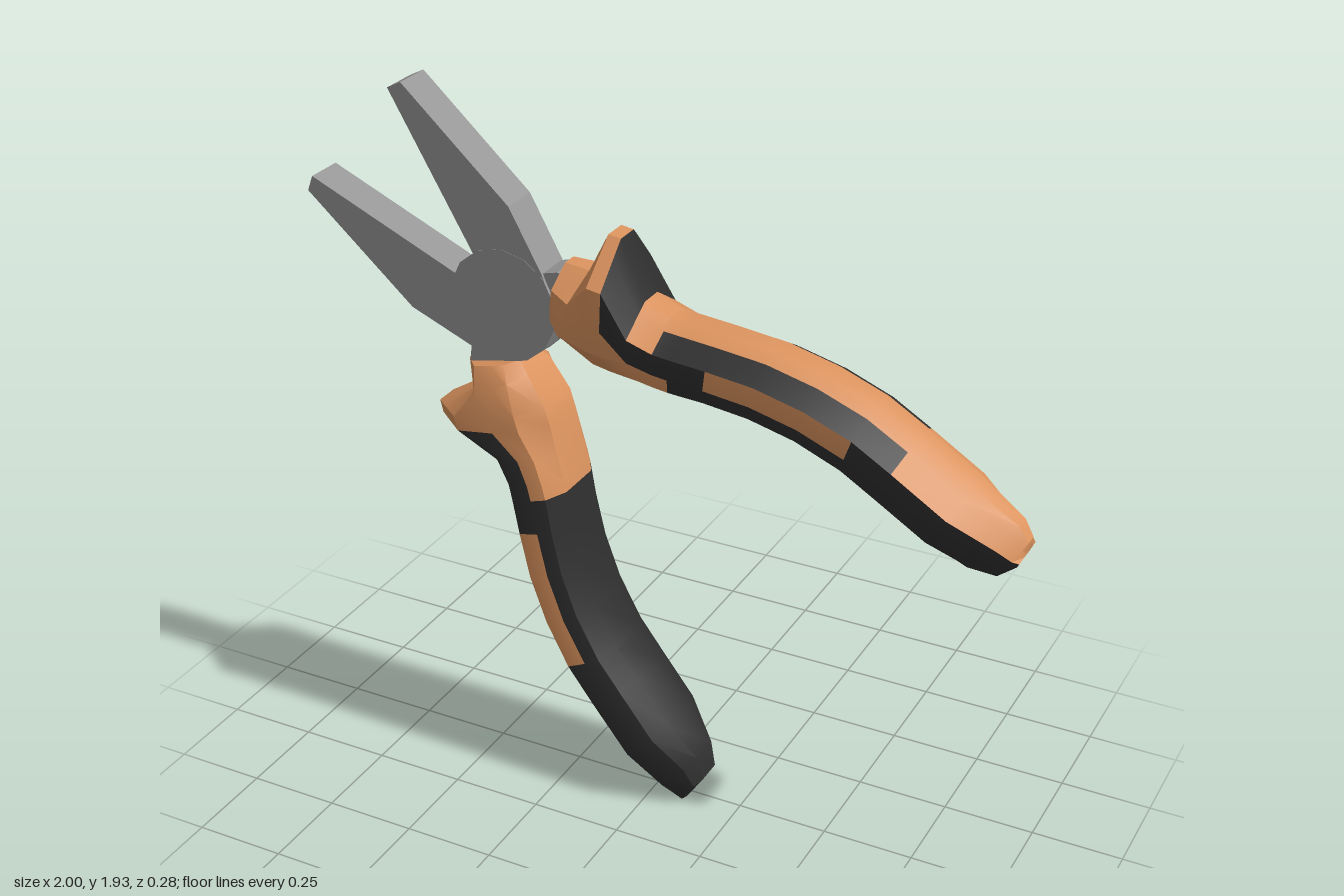
import * as THREE from 'three';
import { toCreasedNormals } from 'three/addons/utils/BufferGeometryUtils.js';

const steel = new THREE.MeshStandardMaterial({ color: 0x969696 });
steel.name = 'steel';
const orange = new THREE.MeshStandardMaterial({ color: 0xdb935e });
orange.name = 'orange grip';
const black = new THREE.MeshStandardMaterial({ color: 0x2e2e2e });
black.name = 'black rubber';

const PIVOT = new THREE.Vector3(-0.42, 1.385, 0);

// Grip sections along the handle: bottom x, y, top x, y, half width, black lanes up to the next section
const SECTIONS = [
  [-0.27, 1.36, -0.25, 1.53, 0.085, ''],
  [-0.24, 1.335, -0.17, 1.525, 0.12, ''],
  [-0.15, 1.29, -0.12, 1.635, 0.135, ''],
  [-0.1, 1.28, -0.085, 1.63, 0.135, '2345'],
  [-0.02, 1.27, -0.02, 1.475, 0.135, '2'],
  [0.05, 1.26, 0.05, 1.445, 0.133, '23'],
  [0.085, 1.255, 0.1, 1.44, 0.133, '0123'],
  [0.18, 1.25, 0.2, 1.43, 0.133, '013'],
  [0.3, 1.235, 0.33, 1.415, 0.133, '013'],
  [0.42, 1.205, 0.47, 1.38, 0.133, '013'],
  [0.54, 1.155, 0.6, 1.33, 0.133, '0123'],
  [0.63, 1.1, 0.71, 1.265, 0.133, '012'],
  [0.76, 1.02, 0.86, 1.17, 0.133, '012'],
  [0.86, 0.96, 0.975, 1.092, 0.09, '012'],
  [0.93, 0.95, 1.0, 1.05, 0.07, '012'],
  [0.985, 0.995, 0.998, 1.02, 0.06, ''],
];

// Half ring of a section: height fraction, width fraction
const RING = [[0, 0.5], [0.18, 0.92], [0.39, 1], [0.69, 1], [0.89, 0.52], [1, 0.25]];

function gripGeometry() {
  const rings = SECTIONS.map(([bx, by, tx, ty, w]) => {
    const side = (s) => RING.map(([v, k]) => new THREE.Vector3(
      bx + (tx - bx) * v, by + (ty - by) * v, 0.003 + s * w * k));
    return [...side(1), ...side(-1).reverse()];
  });
  const n = rings[0].length;
  const faces = [[], []]; // orange, black
  for (let i = 0; i < rings.length - 1; i++) {
    for (let j = 0; j < n; j++) {
      const k = (j + 1) % n;
      const lane = j === n - 1 ? 0 : j <= 5 ? j : 10 - j;
      const list = faces[SECTIONS[i][5].includes(lane) ? 1 : 0];
      const [a, b, c, d] = [rings[i][j], rings[i + 1][j], rings[i + 1][k], rings[i][k]];
      list.push(a, b, c, a, c, d);
    }
  }
  // End caps
  const first = rings[0], last = rings[rings.length - 1];
  for (let j = 1; j < n - 1; j++) {
    faces[0].push(first[0], first[j], first[j + 1]);
    faces[1].push(last[0], last[j + 1], last[j]);
  }
  const geo = new THREE.BufferGeometry().setFromPoints([...faces[0], ...faces[1]]);
  geo.addGroup(0, faces[0].length, 0);
  geo.addGroup(faces[0].length, faces[1].length, 1);
  return toCreasedNormals(geo, 0.55);
}

// Flat steel plate from an outline, between two depths
function plate(name, points, z0, z1) {
  const shape = new THREE.Shape(points.map(([x, y]) => new THREE.Vector2(x, y)));
  const geo = new THREE.ExtrudeGeometry(shape, { depth: z1 - z0, bevelEnabled: false });
  geo.translate(0, 0, z0);
  const mesh = new THREE.Mesh(geo, steel);
  mesh.name = name;
  return mesh;
}

// One lever: jaw, half-thick joint disc, tang and grip
function lever(name) {
  const body = new THREE.Group();
  body.position.copy(PIVOT).negate();

  body.add(plate('jaw', [[-0.73, 1.92], [-0.69, 1.94], [-0.39, 1.665], [-0.3, 1.5],
    [-0.27, 1.42], [-0.42, 1.4], [-0.5, 1.52]], -0.05, 0.058));
  body.add(plate('tang', [[-0.35, 1.37], [-0.2, 1.38], [-0.2, 1.5], [-0.26, 1.51],
    [-0.3, 1.5]], -0.045, 0.05));

  const discGeo = new THREE.CylinderGeometry(0.155, 0.155, 0.059, 14);
  discGeo.rotateX(Math.PI / 2);
  const disc = new THREE.Mesh(toCreasedNormals(discGeo, 0.3), steel);
  disc.name = 'jointDisc';
  disc.position.set(-0.417, 1.39, 0.0295);
  body.add(disc);

  const grip = new THREE.Mesh(gripGeometry(), [orange, black]);
  grip.name = 'grip';
  body.add(grip);

  const group = new THREE.Group();
  group.name = name;
  group.position.copy(PIVOT);
  group.add(body);
  return group;
}

export function createModel() {
  const model = new THREE.Group();
  model.name = 'pliers';
  const upper = lever('upperLever');
  // The second lever is the first turned over about the tool's long axis
  const lower = lever('lowerLever');
  const angle = THREE.MathUtils.degToRad(-42);
  lower.quaternion.setFromAxisAngle(
    new THREE.Vector3(Math.cos(angle), Math.sin(angle), 0), Math.PI);
  model.add(upper, lower);
  return model;
}
